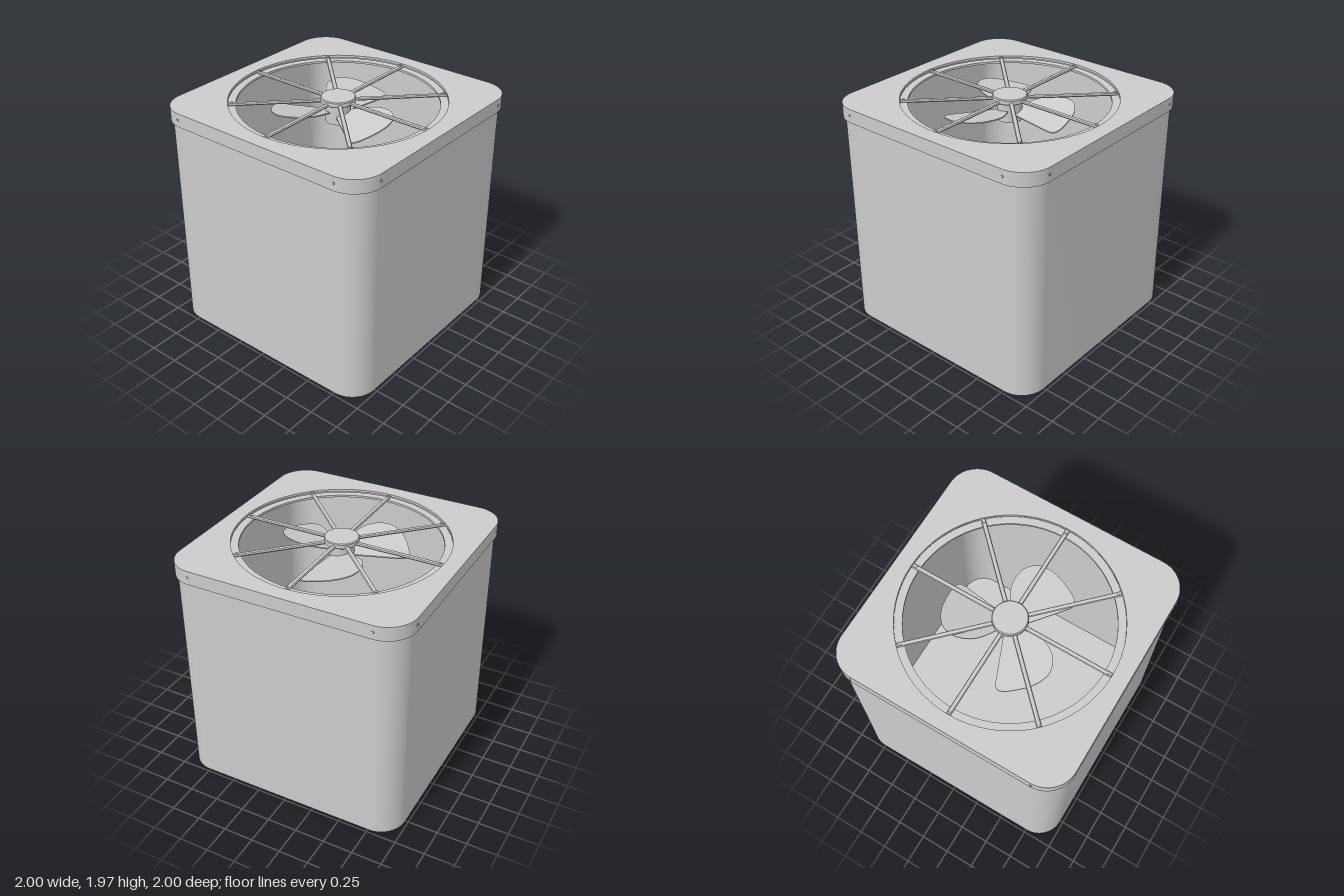
import * as THREE from 'three';
import { toCreasedNormals } from 'three/addons/utils/BufferGeometryUtils.js';

const material = new THREE.MeshStandardMaterial({ color: 0xcccccc, side: THREE.DoubleSide });

// Square outline with rounded corners
function roundedSquare(half, radius, PathType = THREE.Shape) {
  const p = new PathType();
  const c = half - radius;
  p.moveTo(half, -c);
  p.absarc(c, c, radius, 0, Math.PI / 2, false);
  p.absarc(-c, c, radius, Math.PI / 2, Math.PI, false);
  p.absarc(-c, -c, radius, Math.PI, Math.PI * 1.5, false);
  p.absarc(c, -c, radius, Math.PI * 1.5, Math.PI * 2, false);
  return p;
}

function circle(radius, PathType = THREE.Path) {
  return new PathType().absarc(0, 0, radius, 0, Math.PI * 2, false);
}

// Extrude a plan outline upward from y0 to y1
function extrudeUp(shape, y0, y1, curveSegments = 16) {
  const g = new THREE.ExtrudeGeometry(shape, { depth: y1 - y0, bevelEnabled: false, curveSegments });
  g.rotateX(-Math.PI / 2);
  g.translate(0, y0, 0);
  return toCreasedNormals(g, 0.6);
}

function add(parent, name, geometry) {
  const mesh = new THREE.Mesh(geometry, material);
  mesh.name = name;
  parent.add(mesh);
  return mesh;
}

function cylinder(radius, y0, y1, segments = 48) {
  return new THREE.CylinderGeometry(radius, radius, y1 - y0, segments).translate(0, (y0 + y1) / 2, 0);
}

export function createModel() {
  const model = new THREE.Group();
  model.name = 'fanUnit';

  // Hollow sheet-metal cabinet with a closed base
  const walls = roundedSquare(0.975, 0.22);
  walls.holes.push(roundedSquare(0.955, 0.2, THREE.Path));
  add(model, 'cabinetWalls', extrudeUp(walls, 0, 1.935));
  add(model, 'cabinetBase', extrudeUp(roundedSquare(0.97, 0.215), 0, 0.02));

  // Lid: top plate with fan opening and an overhanging lip
  const plate = roundedSquare(0.995, 0.24);
  plate.holes.push(circle(0.865));
  add(model, 'lidPlate', extrudeUp(plate, 1.935, 1.955, 32));
  const lip = roundedSquare(0.995, 0.24);
  lip.holes.push(roundedSquare(0.983, 0.228, THREE.Path));
  add(model, 'lidLip', extrudeUp(lip, 1.84, 1.936));

  // Lid screws, two on each side
  for (let side = 0; side < 4; side++) {
    const group = new THREE.Group();
    group.name = 'lidScrews';
    group.rotation.y = side * Math.PI / 2;
    for (const x of [-0.765, 0.765]) {
      const head = new THREE.CylinderGeometry(0.009, 0.013, 0.01, 12).rotateX(Math.PI / 2);
      add(group, 'lidScrew', head).position.set(x, 1.9, 0.995);
    }
    model.add(group);
  }

  // Guard: recessed ring, eight spokes and a central cap
  const guard = new THREE.Group();
  guard.name = 'fanGuard';
  model.add(guard);
  const ring = circle(0.866, THREE.Shape);
  ring.holes.push(circle(0.803));
  add(guard, 'guardRing', extrudeUp(ring, 1.912, 1.93, 32));
  for (let i = 0; i < 8; i++) {
    const spoke = new THREE.Group();
    spoke.name = 'guardSpoke';
    spoke.rotation.y = i * Math.PI / 4;
    const bar = new THREE.CylinderGeometry(0.019, 0.019, 0.765, 8)
      .rotateZ(Math.PI / 2).scale(1, 0.75, 1).translate(0.4775, 1.936, 0);
    add(spoke, 'spokeBar', toCreasedNormals(bar, 0.5));
    add(spoke, 'spokeScrew', cylinder(0.012, 1.94, 1.954, 12)).position.x = 0.835;
    guard.add(spoke);
  }
  const cap = new THREE.LatheGeometry([
    [0, 1.925], [0.134, 1.925], [0.14, 1.931], [0.14, 1.963], [0.133, 1.97], [0, 1.97],
  ].map(([x, y]) => new THREE.Vector2(x, y)), 48);
  add(guard, 'guardCap', toCreasedNormals(cap, 0.5));

  // Fan: hub and three pitched blades
  const fan = new THREE.Group();
  fan.name = 'fan';
  model.add(fan);
  add(fan, 'fanHub', cylinder(0.1, 1.76, 1.926));
  const outline = new THREE.Shape();
  outline.moveTo(0.06, -0.045);
  outline.lineTo(0.45, -0.1);
  outline.splineThru([
    [0.505, -0.095], [0.53, -0.05], [0.527, 0.04], [0.5, 0.17], [0.44, 0.27],
    [0.37, 0.312], [0.28, 0.318], [0.18, 0.275], [0.11, 0.2], [0.05, 0.09],
  ].map(([x, y]) => new THREE.Vector2(x, y)));
  outline.closePath();
  const blade = extrudeUp(outline, 1.832, 1.842, 4);
  const pos = blade.attributes.position;
  for (let i = 0; i < pos.count; i++) pos.setY(i, pos.getY(i) - 0.225 * pos.getZ(i));
  const bladeGeometry = toCreasedNormals(blade, 0.6);
  for (let i = 0; i < 3; i++) {
    add(fan, 'fanBlade', bladeGeometry).rotation.y = i * Math.PI * 2 / 3;
  }

  return model;
}
